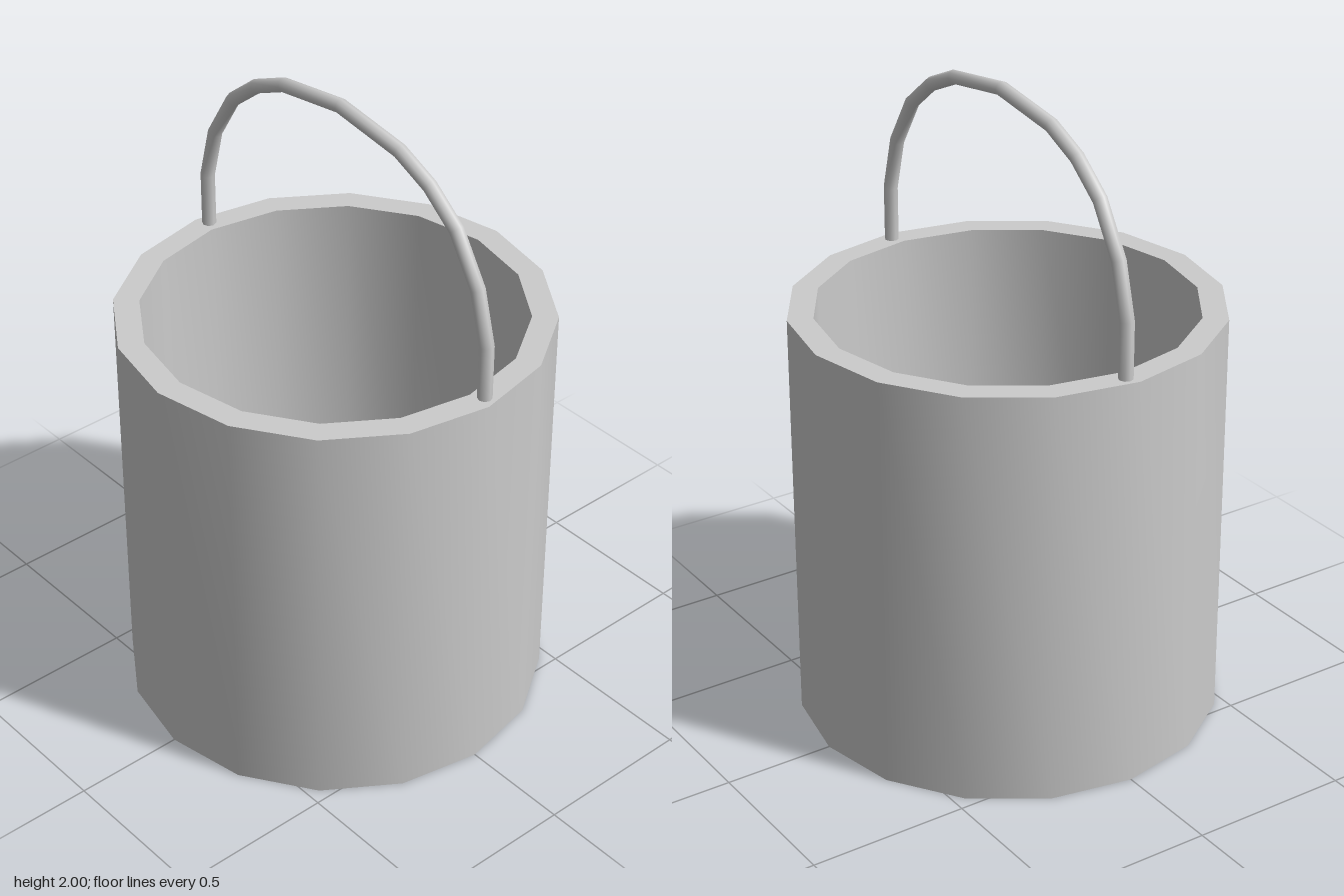
import * as THREE from 'three';
import { toCreasedNormals } from 'three/addons/utils/BufferGeometryUtils.js';

const SIDES = 16;
const OUTER = 0.655, INNER = 0.577, HEIGHT = 1.31, FLOOR = 0.08;

// Path that puts one tube ring on each listed point, aimed along the bisector
class PolylineCurve extends THREE.Curve {
  constructor(points) {
    super();
    this.points = points;
  }
  getPointAt(u) {
    return this.points[Math.round(u * (this.points.length - 1))].clone();
  }
  getTangentAt(u) {
    const p = this.points, last = p.length - 1, i = Math.round(u * last);
    const dir = (a, b) => p[b].clone().sub(p[a]).normalize();
    if (i === 0) return dir(0, 1);
    if (i === last) return dir(last - 1, last);
    return dir(i - 1, i).add(dir(i, i + 1)).normalize();
  }
}

export function createModel() {
  const group = new THREE.Group();
  const material = new THREE.MeshStandardMaterial({ color: 0xcccccc, side: THREE.DoubleSide });

  // Bucket: thick wall, open top, closed floor
  const profile = [
    [0, 0], [OUTER, 0], [OUTER, HEIGHT], [INNER, HEIGHT], [INNER, FLOOR], [0, FLOOR],
  ].map(([x, y]) => new THREE.Vector2(x, y));
  const bucket = new THREE.Mesh(
    toCreasedNormals(new THREE.LatheGeometry(profile, SIDES), 0.6), material);
  bucket.name = 'bucket';
  group.add(bucket);

  // Handle: half of the arch (z, y), mirrored front to back
  const half = [
    [0.615, 1.3], [0.615, 1.483], [0.572, 1.648], [0.481, 1.797], [0.371, 1.886], [0.247, 1.942],
  ];
  const arch = [...half, [0, 1.978], ...half.map(([z, y]) => [-z, y]).reverse()]
    .map(([z, y]) => new THREE.Vector3(0.021, y, z));
  const handle = new THREE.Mesh(
    new THREE.TubeGeometry(new PolylineCurve(arch), arch.length - 1, 0.022, 8), material);
  handle.name = 'handle';
  group.add(handle);

  return group;
}
